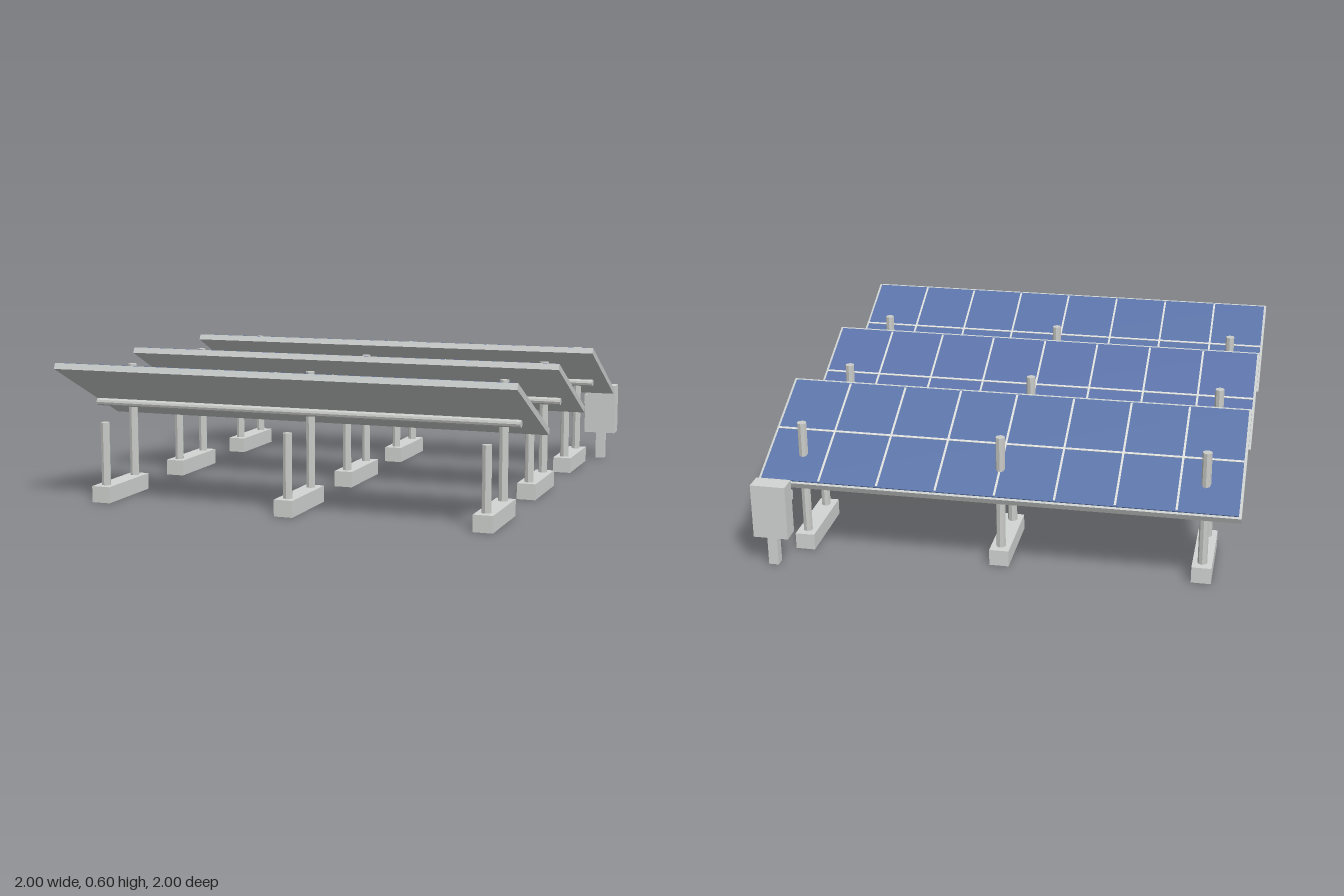
import * as THREE from 'three';

const mat = (name, color, flatShading = false) => {
  const m = new THREE.MeshStandardMaterial({ color });
  m.name = name;
  m.flatShading = flatShading;
  return m;
};

export function createModel() {
  const concrete = mat('concrete grey', 0xd2d5d3);
  const metal = mat('post metal', 0xcbcdca, true);
  const frameGrey = mat('frame grey', 0xc8ccca);
  const cellBlue = mat('cell blue', 0x5a72a8);
  const gridGrey = mat('grid line grey', 0xdadcd9);

  const model = new THREE.Group();
  model.name = 'solarArray';

  const add = (parent, name, geometry, material, x, y, z) => {
    const mesh = new THREE.Mesh(geometry, material);
    mesh.name = name;
    mesh.position.set(x, y, z);
    parent.add(mesh);
    return mesh;
  };
  const box = (w, h, d) => new THREE.BoxGeometry(w, h, d);

  const midX = -0.004, width = 1.992, slope = 0.59, tilt = THREE.MathUtils.degToRad(25.2);

  // Tilted panel: frame, blue sheet and thin grid strips
  function makePanel() {
    const panel = new THREE.Group();
    panel.name = 'panel';
    add(panel, 'frame', box(width, 0.027, slope), frameGrey, 0, -0.004, 0);
    const cellW = width - 0.022, cellL = slope - 0.022;
    add(panel, 'cells', box(cellW, 0.005, cellL), cellBlue, 0, 0.0115, 0);
    for (let i = 1; i < 8; i++) {
      add(panel, 'columnLine', box(0.009, 0.003, cellL - 0.01), gridGrey, cellW * (i / 8 - 0.5), 0.0145, 0);
    }
    add(panel, 'middleLine', box(cellW, 0.003, 0.01), gridGrey, 0, 0.0147, 0);
    panel.rotation.x = -tilt;
    return panel;
  }

  // Footing with a tall and a short post
  function makeSupport() {
    const support = new THREE.Group();
    support.name = 'support';
    const post = (name, top, z) => add(support, name,
      new THREE.CylinderGeometry(0.02, 0.02, top - 0.07, 8), metal, 0, (top + 0.07) / 2, z);
    add(support, 'footing', box(0.082, 0.07, 0.352), concrete, 0, 0.035, 0.002);
    post('tallPost', 0.565, -0.125);
    post('shortPost', 0.34, 0.127);
    return support;
  }

  // Three identical rows
  for (const z of [0.727, 0.038, -0.651]) {
    const row = new THREE.Group();
    row.name = 'row';
    row.position.z = z;
    const panel = makePanel();
    panel.position.set(midX, 0.469, 0.001);
    row.add(panel);
    const beam = add(row, 'beam', new THREE.CylinderGeometry(0.016, 0.016, 1.89, 10), metal, midX, 0.409, 0.002);
    beam.rotation.z = Math.PI / 2;
    for (const x of [-0.847, -0.005, 0.837]) {
      const support = makeSupport();
      support.position.x = x;
      row.add(support);
    }
    model.add(row);
  }

  // Control cabinet behind the last row
  const cabinet = new THREE.Group();
  cabinet.name = 'controlCabinet';
  add(cabinet, 'cabinetBody', box(0.148, 0.235, 0.08), concrete, 0, 0.247, 0);
  add(cabinet, 'cabinetPost', box(0.042, 0.13, 0.042), concrete, 0, 0.065, -0.004);
  add(cabinet, 'cabinetHandle', box(0.016, 0.04, 0.012), concrete, -0.068, 0.296, 0.045);
  cabinet.position.set(0.924, 0, -0.957);
  model.add(cabinet);

  return model;
}
